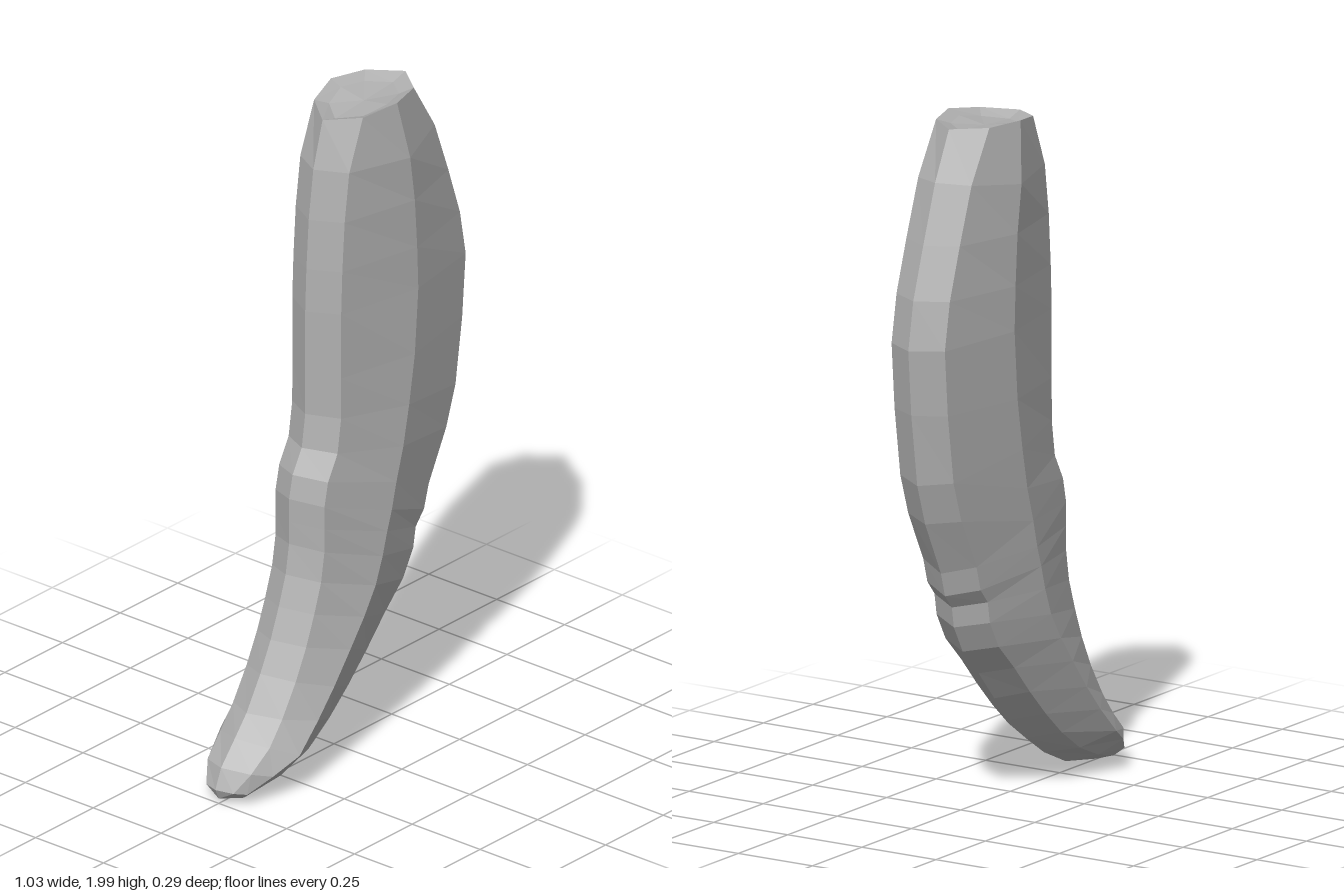
import * as THREE from 'three';

// Outlines from the broad root down to the curved tip, paired row by row (x, y)
const INNER_EDGE = [
  [-0.05, 1.97], [-0.09, 1.83], [-0.11, 1.68], [-0.12, 1.53], [-0.125, 1.4],
  [-0.125, 1.2], [-0.125, 1.08], [-0.14, 0.98], [-0.18, 0.91], [-0.195, 0.84],
  [-0.195, 0.77], [-0.195, 0.7], [-0.21, 0.61], [-0.24, 0.52], [-0.275, 0.43],
  [-0.32, 0.34], [-0.38, 0.24], [-0.43, 0.18], [-0.49, 0.11], [-0.515, 0.05],
];
const RIDGE = [
  [0.13, 1.995], [0.16, 1.82], [0.18, 1.68], [0.19, 1.53], [0.195, 1.4],
  [0.18, 1.2], [0.155, 1.05], [0.13, 0.93], [0.1, 0.83], [0.08, 0.75],
  [0.06, 0.69], [0.04, 0.62], [0.01, 0.54], [-0.04, 0.46], [-0.1, 0.38],
  [-0.17, 0.29], [-0.24, 0.21], [-0.32, 0.13], [-0.4, 0.085], [-0.465, 0.04],
];
const OUTER_EDGE = [
  [0.31, 1.99], [0.38, 1.85], [0.44, 1.68], [0.49, 1.53], [0.515, 1.39],
  [0.5, 1.2], [0.47, 0.99], [0.43, 0.87], [0.35, 0.71], [0.33, 0.64],
  [0.295, 0.6], [0.285, 0.54], [0.24, 0.46], [0.16, 0.38], [0.08, 0.29],
  [0, 0.21], [-0.08, 0.14], [-0.17, 0.08], [-0.28, 0.03], [-0.44, 0.003],
];

// Faceted geometry from a triangle list, one normal per face
function facets(triangles) {
  const g = new THREE.BufferGeometry().setFromPoints(triangles);
  g.computeVertexNormals();
  return g;
}

// Point moved from an edge towards the ridge, giving the bevel line
function bevelPoint(edge, ridge, amount) {
  const e = new THREE.Vector2(...edge);
  const d = new THREE.Vector2(...ridge).sub(e);
  return e.addScaledVector(d, Math.min(amount / d.length(), 0.4));
}

// Eight-sided cross-section, running -x, front, +x, back
function section(i) {
  const last = INNER_EDGE.length - 1;
  const [L, M, R] = [INNER_EDGE[i], RIDGE[i], OUTER_EDGE[i]];
  const l = bevelPoint(L, M, i ? 0.05 : 0.07);
  const r = bevelPoint(R, M, i ? 0.05 : 0.07);
  const bevelZ = i === last ? 0.05 : i === last - 1 ? 0.08 : 0.09;
  const ridgeZ = i === 0 ? 0.122 : i === last ? 0.075 : i === last - 1 ? 0.115 : 0.145;
  const p = (x, y, z) => new THREE.Vector3(x, y, z);
  return [
    p(...L, 0), p(l.x, l.y, bevelZ), p(...M, ridgeZ), p(r.x, r.y, bevelZ),
    p(...R, 0), p(r.x, r.y, -bevelZ), p(...M, -ridgeZ), p(l.x, l.y, -bevelZ),
  ];
}

// Band of quads between an upper and a lower ring
function band(a, b) {
  return a.flatMap((_, j) => {
    const k = (j + 1) % a.length;
    return [a[j], b[j], b[k], a[j], b[k], a[k]];
  });
}

// Fan from a centre to a ring
function fan(centre, ring, flip = false) {
  return ring.flatMap((q, j) => {
    const n = ring[(j + 1) % ring.length];
    return flip ? [centre, n, q] : [centre, q, n];
  });
}

export function createModel() {
  const group = new THREE.Group();
  group.name = 'curvedClaw';
  const grey = new THREE.MeshStandardMaterial({ color: 0xb0b0b0 });
  grey.name = 'grey';
  const add = (name, triangles) => {
    const mesh = new THREE.Mesh(facets(triangles), grey);
    mesh.name = name;
    group.add(mesh);
  };

  const rings = INNER_EDGE.map((_, i) => section(i));

  // Bevelled blade of the claw
  add('blade', rings.slice(1).flatMap((ring, i) => band(rings[i], ring)));

  // Root face with a shallow hollow
  const centre = new THREE.Vector3(0.13, 1.965, 0);
  const rim = rings[0].map((q) => {
    const v = q.clone().lerp(centre, 0.3);
    v.y = q.y - 0.015;
    return v;
  });
  add('rootFace', [...band(rim, rings[0]), ...fan(centre, rim)]);

  // Blunt point
  add('tip', fan(new THREE.Vector3(-0.5, 0.018, 0), rings[rings.length - 1], true));

  return group;
}
